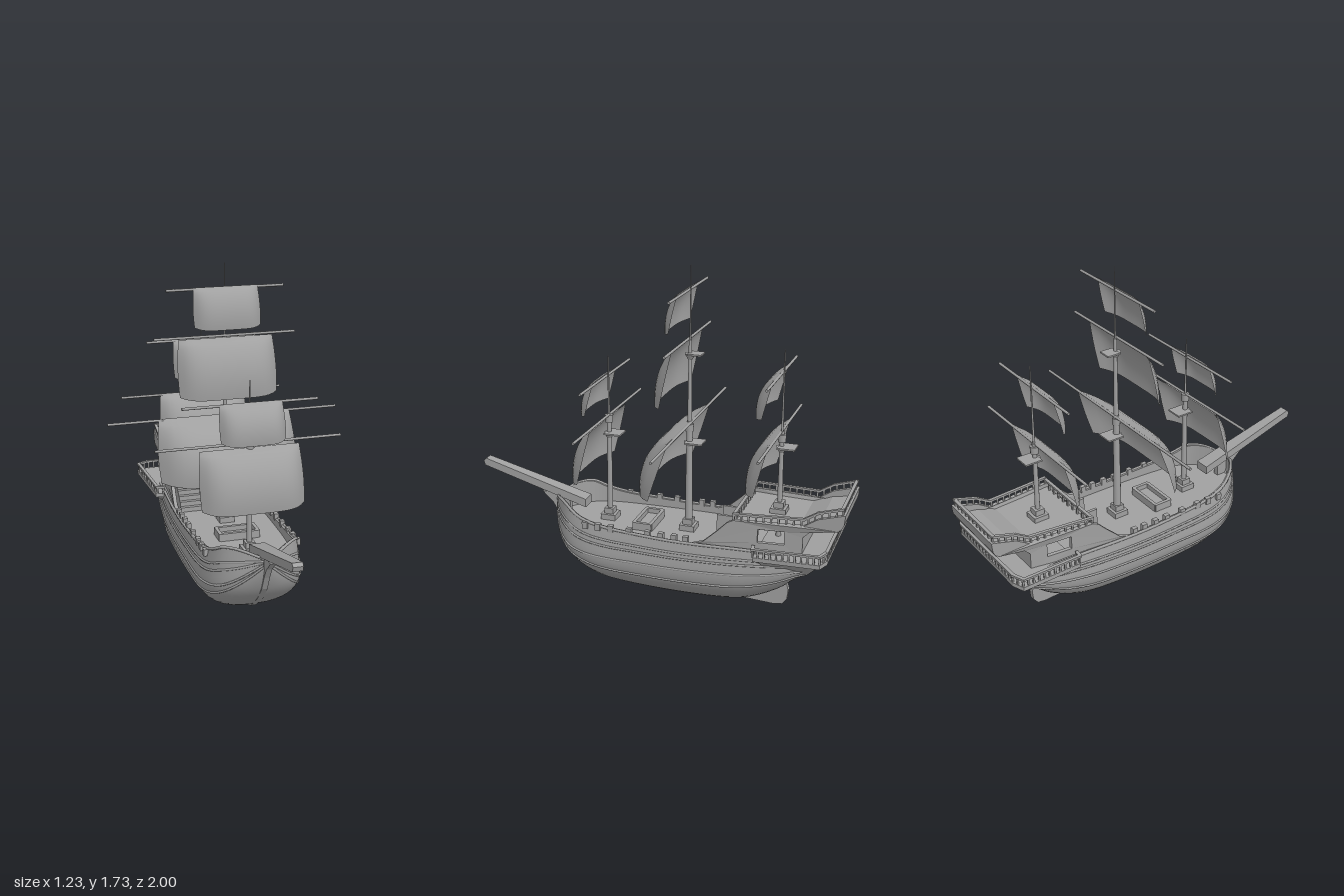
import * as THREE from 'three';
import { toCreasedNormals } from 'three/addons/utils/BufferGeometryUtils.js';

const grey = new THREE.MeshStandardMaterial({ color: 0xa0a0a0 });
grey.name = 'plain grey';
const greyCloth = grey;
greyCloth.side = THREE.DoubleSide;

const V = (x, y, z) => new THREE.Vector3(x, y, z);

export function createModel() {
  const root = new THREE.Group();
  root.name = 'sailingShip';

  const add = (name, geo, parent = root) => {
    const m = new THREE.Mesh(geo, grey);
    m.name = name;
    parent.add(m);
    return m;
  };
  const box = (name, w, h, d, x, y, z, parent) =>
    add(name, new THREE.BoxGeometry(w, h, d).translate(x, y, z), parent);
  const pole = (name, r0, r1, y0, y1, z, parent) =>
    add(name, new THREE.CylinderGeometry(r1, r0, y1 - y0, 12).translate(0, (y0 + y1) / 2, z), parent);
  const tube = (name, pts, r, parent, n = 40) =>
    add(name, new THREE.TubeGeometry(new THREE.CatmullRomCurve3(pts), n, r, 6), parent);
  // Move every vertex by a rule
  const bend = (geo, rule) => {
    const p = geo.attributes.position, v = V(0, 0, 0);
    for (let i = 0; i < p.count; i++) {
      rule(v.fromBufferAttribute(p, i));
      p.setXYZ(i, v.x, v.y, v.z);
    }
    geo.computeVertexNormals();
    return geo;
  };
  // Side outline given as [z, y], extruded across x
  const slab = (pts, width, x = 0, hole) => {
    const s = new THREE.Shape(pts.map(p => new THREE.Vector2(...p)));
    if (hole) s.holes.push(new THREE.Path(hole.map(p => new THREE.Vector2(...p))));
    return new THREE.ExtrudeGeometry(s, { depth: width, bevelEnabled: false })
      .rotateY(-Math.PI / 2).translate(x + width / 2, 0, 0);
  };

  // Hull stations: z, keel y, widest y, half beam, rail y, half width at rail
  const stations = [
    [0.57, 0.38, 0.41, 0.02, 0.44, 0.015], [0.54, 0.30, 0.36, 0.085, 0.46, 0.07],
    [0.50, 0.23, 0.31, 0.15, 0.475, 0.125], [0.44, 0.165, 0.27, 0.205, 0.47, 0.185],
    [0.36, 0.105, 0.25, 0.24, 0.43, 0.22], [0.24, 0.06, 0.24, 0.26, 0.405, 0.237],
    [0.05, 0.04, 0.24, 0.265, 0.393, 0.247], [-0.2, 0.035, 0.24, 0.265, 0.385, 0.25],
    [-0.42, 0.045, 0.25, 0.262, 0.39, 0.245], [-0.55, 0.075, 0.26, 0.252, 0.39, 0.238],
    [-0.68, 0.145, 0.28, 0.24, 0.385, 0.23], [-0.76, 0.215, 0.3, 0.23, 0.38, 0.225],
    [-0.83, 0.26, 0.315, 0.22, 0.37, 0.215],
  ];
  const lineA = new THREE.CatmullRomCurve3(stations.map(s => V(s[0], s[1], s[2])), false, 'catmullrom');
  const lineB = new THREE.CatmullRomCurve3(stations.map(s => V(s[3], s[4], s[5])), false, 'catmullrom');
  const section = t => {
    const a = lineA.getPoint(t), b = lineB.getPoint(t), pts = [];
    for (let i = 0; i <= 9; i++) {
      const q = (i / 9) * Math.PI / 2;
      pts.push(V(b.x * Math.sin(q) ** 0.75, a.z - (a.z - a.y) * Math.cos(q), a.x));
    }
    for (let i = 1; i <= 5; i++) {
      const q = i / 5;
      pts.push(V(b.x + (b.z - b.x) * q ** 1.4, a.z + (b.y - a.z) * q, a.x));
    }
    // Bulwark inside and deck
    const inner = Math.max(b.z - 0.018, 0), deck = Math.max(0.35, a.y + 0.02);
    pts.push(V(inner, b.y, a.x), V(inner, deck, a.x), V(0, deck, a.x));
    return pts;
  };
  const rows = 48, outer = 15, half = 18, ring = half * 2;
  const sections = Array.from({ length: rows + 1 }, (_, i) => section(i / rows));
  const pos = [], idx = [];
  sections.forEach(s => {
    s.forEach(p => pos.push(p.x, p.y, p.z));
    [...s].reverse().forEach(p => pos.push(-p.x, p.y, p.z));
  });
  for (let i = 0; i < rows; i++) for (let k = 0; k < ring - 1; k++) {
    const a = i * ring + k, c = a + ring;
    idx.push(a, c, c + 1, a, c + 1, a + 1);
  }
  for (let k = 0; k < outer - 1; k++) { // transom
    const p = rows * ring + k, m = rows * ring + ring - 1 - k;
    idx.push(p, m, m - 1, p, m - 1, p + 1);
  }
  const hullGeo = new THREE.BufferGeometry();
  hullGeo.setAttribute('position', new THREE.Float32BufferAttribute(pos, 3));
  hullGeo.setIndex(idx);
  add('hull', toCreasedNormals(hullGeo.toNonIndexed(), 0.6));
  // Wales running along the planking
  for (const side of [-1, 1]) for (const k of [7, 9, 11, 12, 14])
    tube('wale', sections.filter((_, i) => i % 3 === 0).map(s => V(s[k].x * side, s[k].y, s[k].z)),
      k === 14 ? 0.008 : 0.006, root, 60);

  // Stem, keel and rudder in one slab
  add('keel', slab([[0.66, 0.455], [0.6, 0.4], [0.565, 0.34], [0.53, 0.265], [0.46, 0.18], [0.35, 0.092],
    [0.2, 0.037], [0, 0.024], [-0.4, 0.014], [-0.62, 0.002], [-0.67, 0.008], [-0.695, 0.04], [-0.7, 0.09],
    [-0.69, 0.13], [-0.72, 0.2], [-0.6, 0.2], [-0.4, 0.1], [0.2, 0.1], [0.4, 0.2], [0.5, 0.35], [0.5, 0.46]], 0.03));
  add('bowsprit', bend(slab([[0.4, 0.45], [0.4, 0.405], [0.992, 0.565], [1, 0.59], [0.985, 0.605]], 0.08),
    v => { v.x *= 1 - 0.38 * (v.z - 0.4) / 0.6; }));

  // Cabin and poop
  const flare = v => { v.x += Math.sign(v.x) * 0.045 * THREE.MathUtils.clamp((v.z + 0.78) / 0.45, 0, 1); };
  const stern = new THREE.Group();
  stern.name = 'sternCastle';
  root.add(stern);
  for (const side of [-1, 1])
    add('cabinSide', bend(slab([[-0.25, 0.35], [-0.25, 0.385], [-0.31, 0.405], [-0.37, 0.46], [-0.43, 0.52], [-0.46, 0.535],
      [-0.8, 0.54], [-0.87, 0.585], [-0.99, 0.62], [-0.995, 0.57], [-0.97, 0.535], [-0.83, 0.51], [-0.8, 0.48], [-0.8, 0.35]],
      0.02, side * 0.19, [[-0.58, 0.43], [-0.58, 0.5], [-0.71, 0.5], [-0.71, 0.43]]), flare), stern);
  add('poopDeck', bend(slab([[-0.45, 0.515], [-0.77, 0.515], [-0.87, 0.555], [-0.99, 0.575], [-0.975, 0.537],
    [-0.83, 0.512], [-0.77, 0.495], [-0.45, 0.495]], 0.38), flare), stern);
  add('poopStern', slab([[-0.98, 0.54], [-0.98, 0.62], [-1, 0.62], [-0.995, 0.57]], 0.4), stern);
  box('cabinFront', 0.44, 0.17, 0.02, 0, 0.43, -0.47, stern);
  box('cabinBack', 0.38, 0.17, 0.02, 0, 0.43, -0.79, stern);
  for (const side of [-1, 1]) {
    for (let i = 0; i < 6; i++)
      box('step', 0.12, 0.025 * (i + 1), 0.022, side * 0.14, 0.35 + 0.0125 * (i + 1), -0.34 - i * 0.022, stern);
    box('porchWall', 0.015, 0.13, 0.14, side * 0.06, 0.415, -0.4, stern);
  }

  // Gallery around the stern
  const edge = [[0.25, -0.57], [0.285, -0.575], [0.32, -0.91], [0.26, -0.935],
    [-0.26, -0.935], [-0.32, -0.91], [-0.285, -0.575], [-0.25, -0.57]];
  const slope = z => (-0.57 - z) * 0.08;
  const plate = new THREE.ExtrudeGeometry(new THREE.Shape(edge.map(p => new THREE.Vector2(p[0], -p[1]))),
    { depth: 0.022, bevelEnabled: false }).rotateX(-Math.PI / 2).translate(0, 0.355, 0);
  add('galleryDeck', bend(plate, v => { v.y += slope(v.z); }), stern);
  const bracket = new THREE.BoxGeometry(0.56, 0.07, 0.32).translate(0, 0.325, -0.75);
  add('galleryBracket', bend(bracket, v => {
    if (v.y < 0.32) { v.x *= 0.76; v.z = v.z < -0.75 ? -0.83 : -0.63; } else v.y += slope(v.z);
  }), stern);

  // Railing: posts and a top rail along a path
  const railing = (name, path, h, n) => {
    const g = new THREE.Group();
    g.name = name;
    stern.add(g);
    const curve = new THREE.CurvePath();
    for (let i = 1; i < path.length; i++) curve.add(new THREE.LineCurve3(path[i - 1], path[i]));
    for (let i = 0; i <= n; i++) {
      const p = curve.getPoint(i / n);
      box('post', 0.009, h, 0.009, p.x, p.y + h / 2, p.z, g);
    }
    for (let i = 1; i < path.length; i++) {
      const a = path[i - 1], b = path[i];
      const bar = box('rail', 0.017, 0.011, a.distanceTo(b) + 0.012, 0, 0, 0, g);
      bar.position.copy(a).add(b).multiplyScalar(0.5).setY((a.y + b.y) / 2 + h);
      bar.lookAt(V(b.x, b.y + h, b.z));
    }
  };
  railing('galleryRail', edge.map(p => V(p[0] * 0.98, 0.375 + slope(p[1]), p[1] * 0.995)), 0.042, 44);
  const poopPath = [[0.222, 0.53, -0.46], [0.19, 0.537, -0.8], [0.19, 0.58, -0.87], [0.19, 0.615, -0.985]];
  railing('poopRail', [...poopPath.map(p => V(...p)), ...poopPath.reverse().map(p => V(-p[0], p[1], p[2]))], 0.035, 40);
  railing('poopFrontRail', [V(0.22, 0.51, -0.46), V(-0.22, 0.51, -0.46)], 0.05, 10);

  // Deck fittings
  for (const side of [-1, 1]) {
    for (const z of [0.32, 0.25, 0.18, 0.08, -0.02, -0.09, -0.16, -0.22])
      box('bulwarkBlock', 0.024, 0.035, 0.028, side * 0.238, 0.4, z);
    box('hatchSide', 0.018, 0.04, 0.1, side * 0.1, 0.37, 0.06);
    box('hatchEnd', 0.2, 0.04, 0.018, 0, 0.37, 0.06 + side * 0.045);
  }
  box('hatchCover', 0.19, 0.015, 0.08, 0, 0.357, 0.06);

  // Sail: billowed sheet hung from y1 down to y0 at mast z, depth d forward
  const sail = (name, w, y0, y1, z, d, parent) => {
    add(name, bend(new THREE.PlaneGeometry(2, 1, 20, 14), p => {
      const u = p.x, t = 0.5 - p.y;
      const mid = Math.sin(1.75 * t ** 0.65), side = 0.5 * t;
      p.set(u * w * (0.95 + 0.05 * Math.sin(t * 2.4)), y1 - (y1 - y0) * t + 0.012 * u ** 6 * t,
        z + d * (side + (mid - side) * (1 - Math.abs(u) ** 5)));
    }), parent);
  };
  const yard = (len, y, z, parent) =>
    add('yard', new THREE.CylinderGeometry(0.007, 0.007, len * 2, 8).rotateZ(Math.PI / 2).translate(0, y, z), parent);
  const platform = (y, z, s, parent) => {
    box('topPlatform', s * 2, 0.008, s * 2, 0, y, z - 0.03, parent);
    pole('topBracket', 0.012, 0.028, y - 0.03, y, z, parent);
  };

  // Masts: [pole segments r0 r1 y0 y1], platforms, sails [w y0 y1 z depth yardHalf yardY]
  const masts = [
    { name: 'foreMast', z: 0.275, foot: 0.35, poles: [[0.015, 0.012, 0.35, 0.92], [0.006, 0.003, 0.92, 1.24]], tops: [0.83],
      sails: [[0.265, 0.61, 0.905, 0.28, 0.14, 0.47, 0.925], [0.165, 0.945, 1.135, 0.295, 0.095, 0.34, 1.128]] },
    { name: 'mainMast', z: -0.16, foot: 0.35, poles: [[0.021, 0.015, 0.35, 0.94], [0.012, 0.008, 0.94, 1.36], [0.005, 0.002, 1.36, 1.73]],
      tops: [0.83, 1.29],
      sails: [[0.37, 0.62, 0.94, -0.165, 0.2, 0.615, 0.935], [0.26, 1.06, 1.355, -0.145, 0.12, 0.37, 1.363],
        [0.175, 1.41, 1.615, -0.145, 0.085, 0.305, 1.606]] },
    { name: 'mizzenMast', z: -0.635, foot: 0.51, poles: [[0.014, 0.011, 0.35, 0.94], [0.006, 0.003, 0.94, 1.35]], tops: [0.86],
      sails: [[0.25, 0.66, 0.94, -0.625, 0.135, 0.455, 0.935], [0.17, 1.03, 1.24, -0.62, 0.1, 0.31, 1.235]] },
  ];
  for (const m of masts) {
    const g = new THREE.Group();
    g.name = m.name;
    root.add(g);
    for (const p of m.poles) pole('pole', ...p, m.z, g);
    box('mastFoot', 0.08, 0.03, 0.08, 0, m.foot + 0.015, m.z, g);
    box('mastStep', 0.05, 0.03, 0.05, 0, m.foot + 0.045, m.z, g);
    pole('collar', 0.02, 0.022, 0.885, 0.925, m.z, g);
    m.tops.forEach((y, i) => platform(y, m.z, i ? 0.035 : 0.045, g));
    m.sails.forEach(([w, y0, y1, z, d, len, yy]) => {
      sail('sail', w, y0, y1, z, d, g);
      yard(len, yy, z - 0.005, g);
    });
  }
  return root;
}
